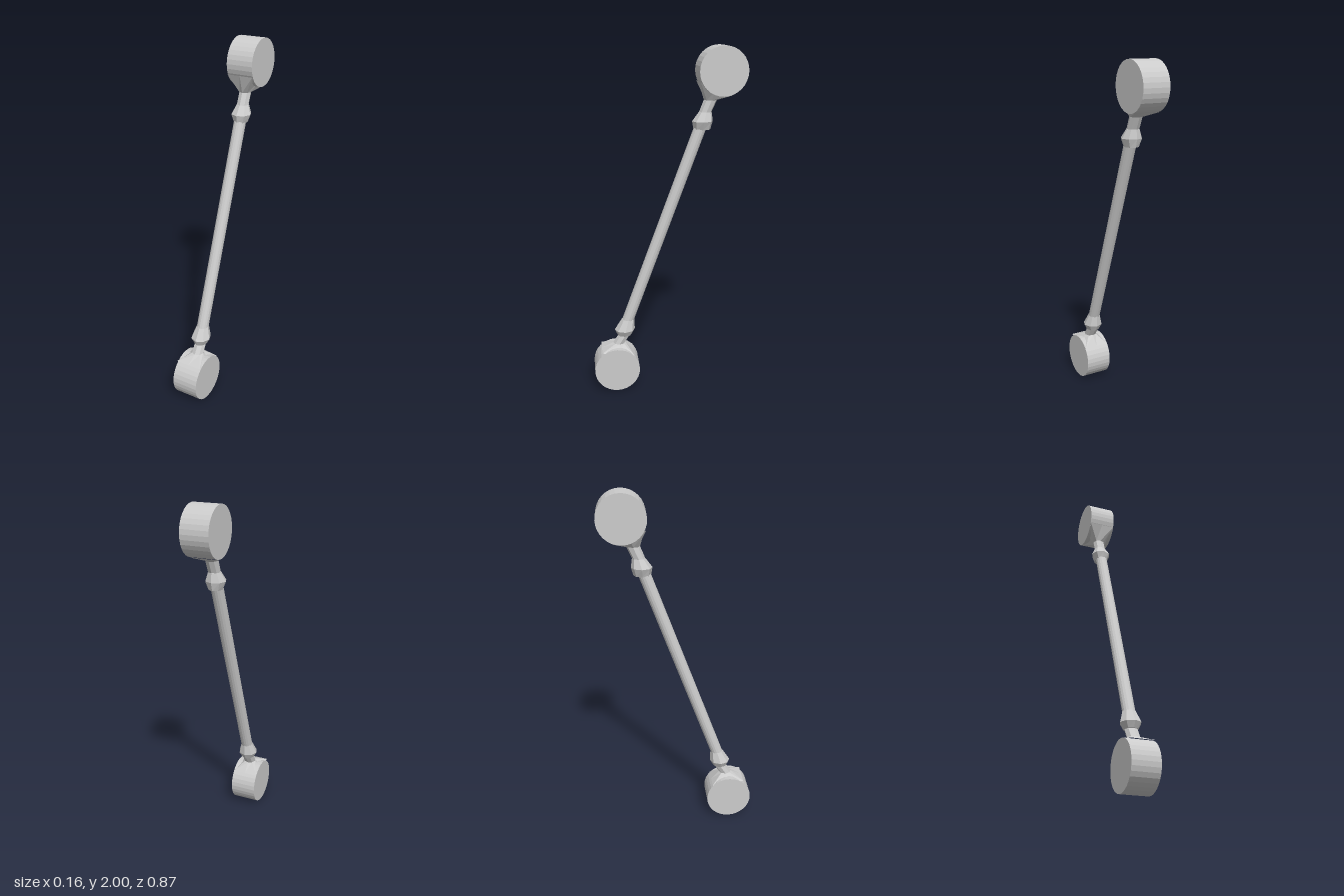
import * as THREE from 'three';

const material = new THREE.MeshStandardMaterial({ color: 0xcccccc, flatShading: true });

// Skin stacked rings, bottom to top. Ring: y, z centre, half width, half depth,
// optional tilt (rise per unit z) and square outline.
function loft(name, sides, rings) {
  const positions = [], index = [];
  for (const { y, z, rx, rz, tilt = 0, square = false } of rings) {
    for (let i = 0; i < sides; i++) {
      const a = (i / sides) * Math.PI * 2;
      const c = Math.cos(a), s = -Math.sin(a);
      const k = square ? 1 / Math.max(Math.abs(c), Math.abs(s)) : 1;
      const dz = s * k * rz;
      positions.push(c * k * rx, y + tilt * dz, z + dz);
    }
  }
  for (let r = 0; r < rings.length - 1; r++) {
    for (let i = 0; i < sides; i++) {
      const j = (i + 1) % sides;
      const a = r * sides + i, b = r * sides + j;
      index.push(a, b, b + sides, a, b + sides, a + sides);
    }
  }
  const geometry = new THREE.BufferGeometry();
  geometry.setAttribute('position', new THREE.Float32BufferAttribute(positions, 3));
  geometry.setIndex(index);
  geometry.computeVertexNormals();
  const mesh = new THREE.Mesh(geometry, material);
  mesh.name = name;
  return mesh;
}

// Round end piece lying across x
function endDrum(name, y, z) {
  const geometry = new THREE.CylinderGeometry(0.133, 0.133, 0.155, 32);
  geometry.rotateZ(Math.PI / 2);
  const mesh = new THREE.Mesh(geometry, material);
  mesh.name = name;
  mesh.position.set(0, y, z);
  return mesh;
}

export function createModel() {
  const group = new THREE.Group();
  group.name = 'linkRod';

  group.add(endDrum('lowerDrum', 0.133, 0.302), endDrum('upperDrum', 1.867, -0.302));

  // Slanted rod
  group.add(loft('rod', 16, [
    { y: 0.42, z: 0.232, rx: 0.034, rz: 0.036 },
    { y: 1.56, z: -0.188, rx: 0.034, rz: 0.036 },
  ]));

  // Lower flare, neck and collar
  group.add(loft('lowerNeck', 8, [
    { y: 0.237, z: 0.295, rx: 0.077, rz: 0.094, tilt: 0.13, square: true },
    { y: 0.28, z: 0.285, rx: 0.035, rz: 0.036 },
    { y: 0.335, z: 0.25, rx: 0.035, rz: 0.036 },
  ]));
  group.add(loft('lowerCollar', 8, [
    { y: 0.33, z: 0.252, rx: 0, rz: 0 },
    { y: 0.33, z: 0.252, rx: 0.038, rz: 0.042 },
    { y: 0.365, z: 0.25, rx: 0.057, rz: 0.06 },
    { y: 0.43, z: 0.23, rx: 0.036, rz: 0.038 },
    { y: 0.43, z: 0.23, rx: 0, rz: 0 },
  ]));

  // Upper collar, neck and flare
  group.add(loft('upperCollar', 8, [
    { y: 1.55, z: -0.198, rx: 0, rz: 0 },
    { y: 1.55, z: -0.198, rx: 0.038, rz: 0.047 },
    { y: 1.595, z: -0.2, rx: 0.057, rz: 0.058 },
    { y: 1.645, z: -0.215, rx: 0.035, rz: 0.036 },
    { y: 1.645, z: -0.215, rx: 0, rz: 0 },
  ]));
  group.add(loft('upperNeck', 8, [
    { y: 1.64, z: -0.213, rx: 0.034, rz: 0.035 },
    { y: 1.71, z: -0.243, rx: 0.034, rz: 0.037 },
    { y: 1.775, z: -0.262, rx: 0.077, rz: 0.087, tilt: 0.4, square: true },
  ]));

  return group;
}
